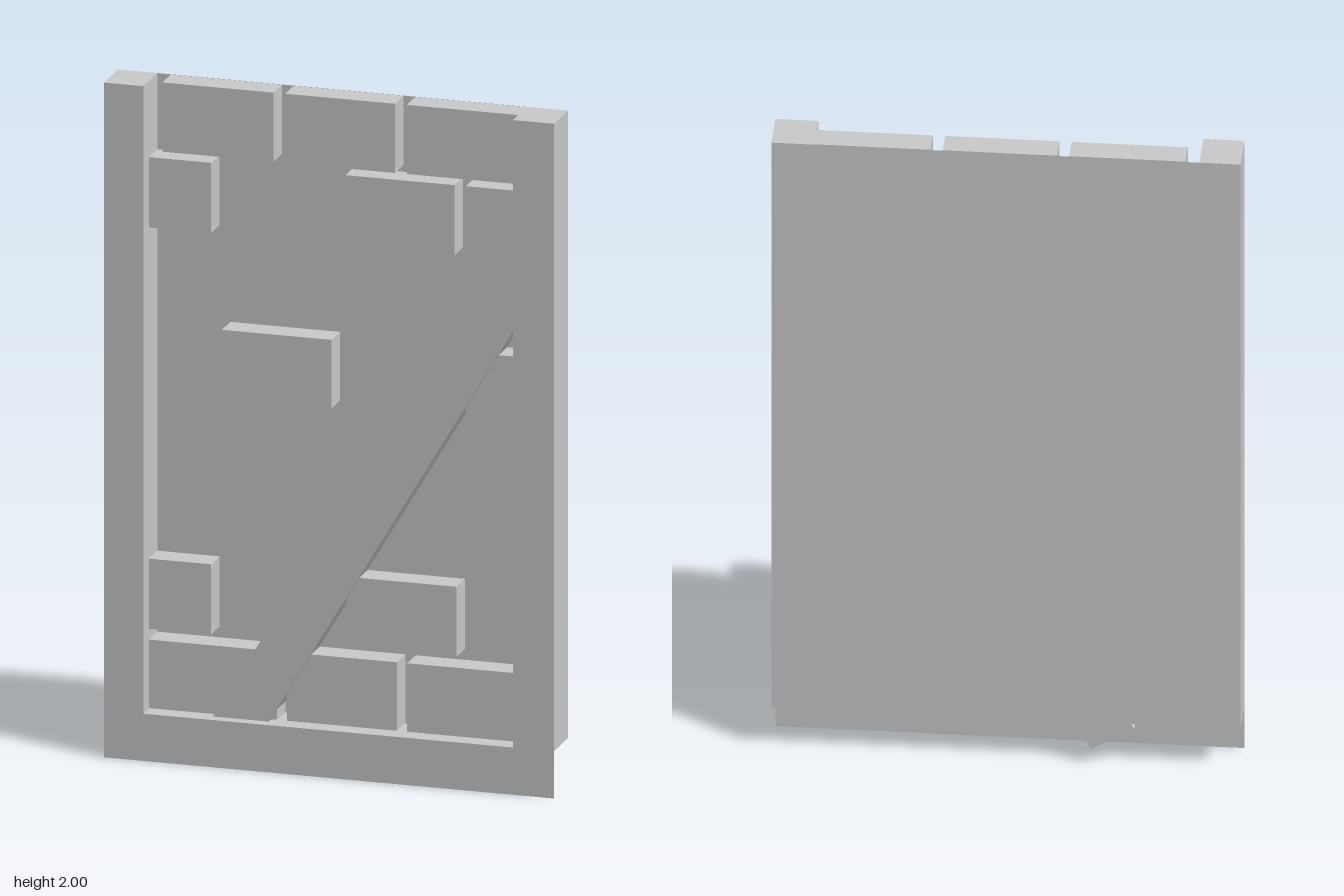
import * as THREE from 'three';

const BACK = -0.066, FRONT = 0.066, BASE = 0.14, TOP = 2, HALF = 0.667;
const INNER_L = -0.55, INNER_R = 0.545;

export function createModel() {
  const group = new THREE.Group();
  const material = new THREE.MeshStandardMaterial({ color: 0xcccccc, flatShading: true });
  const thin = new THREE.MeshStandardMaterial({ color: 0xcccccc, flatShading: true, side: THREE.DoubleSide });

  const add = (name, geometry, mat = material) => {
    const mesh = new THREE.Mesh(geometry, mat);
    mesh.name = name;
    group.add(mesh);
    return mesh;
  };
  // Box given by its limits on each axis
  const block = (name, x0, x1, y0, y1, z0, z1) =>
    add(name, new THREE.BoxGeometry(x1 - x0, y1 - y0, z1 - z0))
      .position.set((x0 + x1) / 2, (y0 + y1) / 2, (z0 + z1) / 2);

  // Side posts
  block('rightPost', -HALF, INNER_L, BASE, TOP, BACK, FRONT);
  block('leftPost', INNER_R, HALF, BASE, TOP, BACK, FRONT);

  // Thin back panel, floor and front skirt
  const innerWidth = INNER_R - INNER_L, innerX = (INNER_R + INNER_L) / 2;
  add('backPanel', new THREE.PlaneGeometry(innerWidth, TOP - BASE), thin)
    .position.set(innerX, (TOP + BASE) / 2, BACK);
  const floor = add('floor', new THREE.PlaneGeometry(innerWidth, FRONT - BACK), thin);
  floor.rotation.x = -Math.PI / 2;
  floor.position.set(innerX, BASE, 0);
  add('frontSkirt', new THREE.PlaneGeometry(2 * HALF, BASE), thin).position.set(0, BASE / 2, FRONT);

  // Rows of bricks: [bottom, top, [x start, x end]...]; those at the sides run up to the posts
  const rows = [
    [1.795, TOP, [-0.51, -0.18], [-0.145, 0.18], [0.215, INNER_R]],
    [1.567, 1.775, [INNER_L, -0.365], [0.033, 0.357], [0.39, INNER_R]],
    [1.08, 1.283, [-0.333, -0.008], [0.39, INNER_R]],
    [0.377, 0.585, [INNER_L, -0.365], [0.038, 0.362], ],
    [BASE + 0.002, 0.345, [INNER_L, -0.17], [-0.14, 0.186], [0.216, INNER_R]],
  ];
  for (const [y0, y1, ...spans] of rows)
    for (const [x0, x1] of spans) block('brick', x0, x1, y0, y1, BACK + 0.002, 0.016);

  // Diagonal brace, its lower corner dropping through the floor
  const outline = [[-0.365, 0.123], [-0.243, 0.05], [0.6, 1.473], [0.6, 1.655], [0.545, 1.605], [0.49, 1.555]];
  const shape = new THREE.Shape(outline.map(([x, y]) => new THREE.Vector2(x, y)));
  add('diagonalBrace', new THREE.ExtrudeGeometry(shape, { depth: 0.096, bevelEnabled: false }))
    .position.z = BACK + 0.003;

  return group;
}
